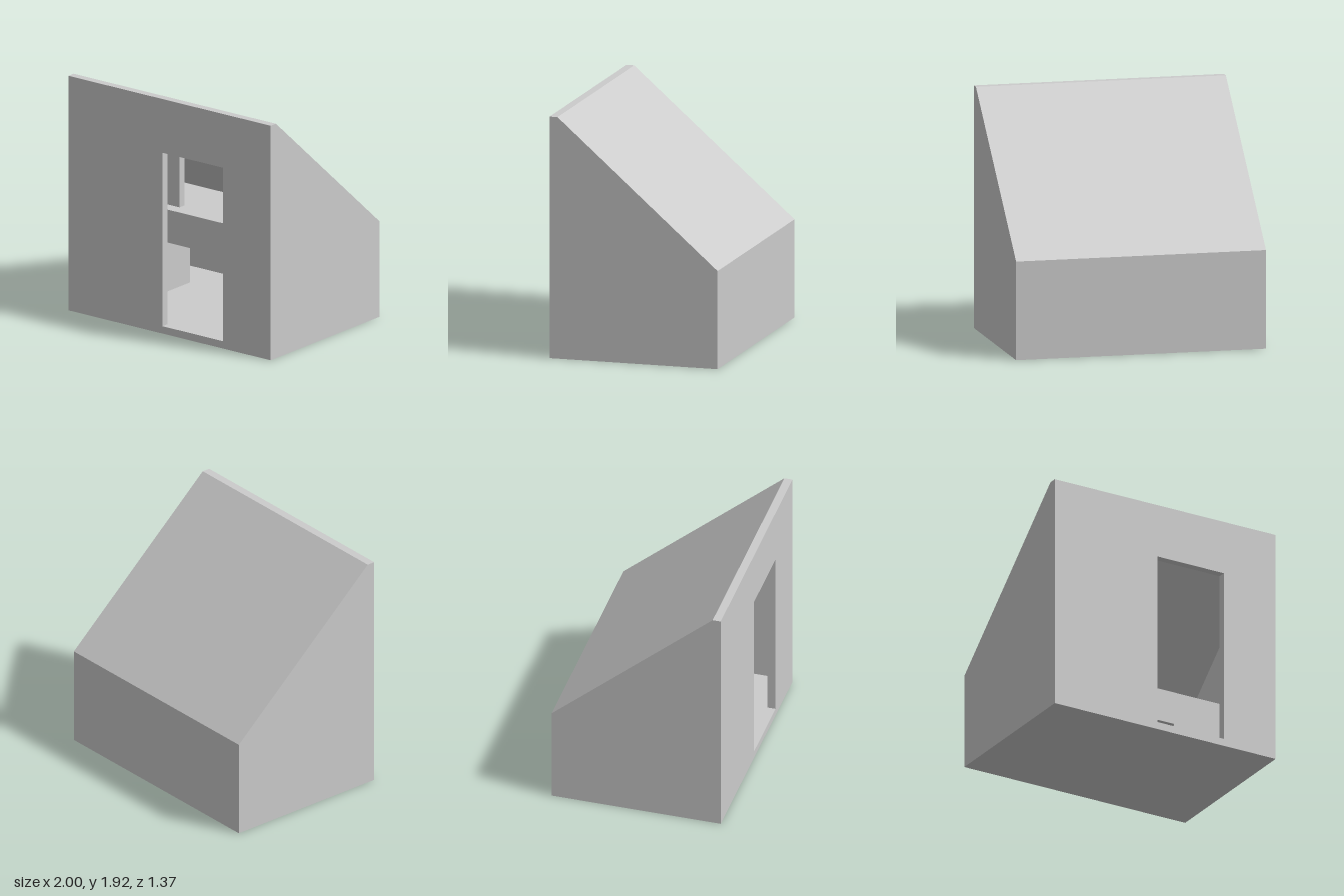
import * as THREE from 'three';

const material = new THREE.MeshStandardMaterial({ color: 0xcccccc, flatShading: true });
const FRONT = 0.685, RIDGE = 0.62, BACK = -0.685;
const TOP = 1.92, EAVE = 0.78, HALF = 1, WALL = 0.06, INNER = HALF - WALL;
const ROOF_DROP = 0.08;

// height of the outer roof slope at depth z
const roofY = (z) => TOP + ((EAVE - TOP) * (RIDGE - z)) / (RIDGE - BACK);
const ceilingY = (z) => roofY(z) - ROOF_DROP;

export function createModel() {
  const group = new THREE.Group();

  const add = (name, geometry) => {
    const mesh = new THREE.Mesh(geometry, material);
    mesh.name = name;
    group.add(mesh);
  };

  // box given by its limits on each axis
  const box = (name, x0, x1, y0, y1, z0, z1) =>
    add(name, new THREE.BoxGeometry(x1 - x0, y1 - y0, z1 - z0)
      .translate((x0 + x1) / 2, (y0 + y1) / 2, (z0 + z1) / 2));

  // side profile of [z, y] points, extruded from x0 to x1
  const profile = (name, points, x0, x1) => {
    const shape = new THREE.Shape(points.map(([z, y]) => new THREE.Vector2(z, y)));
    add(name, new THREE.ExtrudeGeometry(shape, { depth: x1 - x0, bevelEnabled: false })
      .rotateY(-Math.PI / 2).translate(x1, 0, 0));
  };

  // gable side walls
  const gable = [[FRONT, 0], [FRONT, TOP], [RIDGE, TOP], [BACK, EAVE], [BACK, 0]];
  profile('rightSideWall', gable, -HALF, -INNER);
  profile('leftSideWall', gable, INNER, HALF);

  // tall front wall with its opening
  const front = new THREE.Shape([[-INNER, 0], [INNER, 0], [INNER, TOP], [-INNER, TOP]]
    .map(([x, y]) => new THREE.Vector2(x, y)));
  front.holes.push(new THREE.Path([[-0.07, 0.06], [-0.07, 1.48], [0.53, 1.48], [0.53, 0.06]]
    .map(([x, y]) => new THREE.Vector2(x, y))));
  add('frontWall', new THREE.ExtrudeGeometry(front, { depth: FRONT - RIDGE, bevelEnabled: false })
    .translate(0, 0, RIDGE));

  // sloping roof, low back wall and ground floor
  profile('roof', [[RIDGE, TOP], [BACK, EAVE], [BACK, EAVE - ROOF_DROP], [RIDGE, TOP - ROOF_DROP]],
    -INNER, INNER);
  const backInner = BACK + WALL;
  box('backWall', -INNER, INNER, 0, EAVE - ROOF_DROP, BACK, backInner);
  box('groundFloor', -INNER, INNER, 0, 0.06, backInner, RIDGE);

  // slightly lower ceiling over one half
  profile('ceilingPanel', [[RIDGE, ceilingY(RIDGE)], [backInner, ceilingY(backInner)],
    [backInner, ceilingY(backInner) - 0.025], [RIDGE, ceilingY(RIDGE) - 0.025]], -INNER, 0);

  // loft floor with a deep lintel at its front edge
  const loftFront = -0.015, loftBack = -0.295;
  box('loftLintel', -INNER, INNER, 0.46, 0.73, loftBack, loftFront);
  box('loftFloor', -INNER, INNER, 0.67, 0.73, backInner, loftBack);

  // piers carrying the loft, leaving two doorways
  for (const [x0, x1] of [[-INNER, -0.57], [-0.02, 0.005], [0.5, INNER]]) {
    box('loftPier', x0, x1, 0.06, 0.46, loftBack, loftFront);
  }

  // partition standing on the loft
  const z0 = -0.175, z1 = -0.115;
  profile('loftPartition', [[z1, 0.73], [z1, ceilingY(z1)], [z0, ceilingY(z0)], [z0, 0.73]],
    -INNER, -0.53);

  return group;
}
